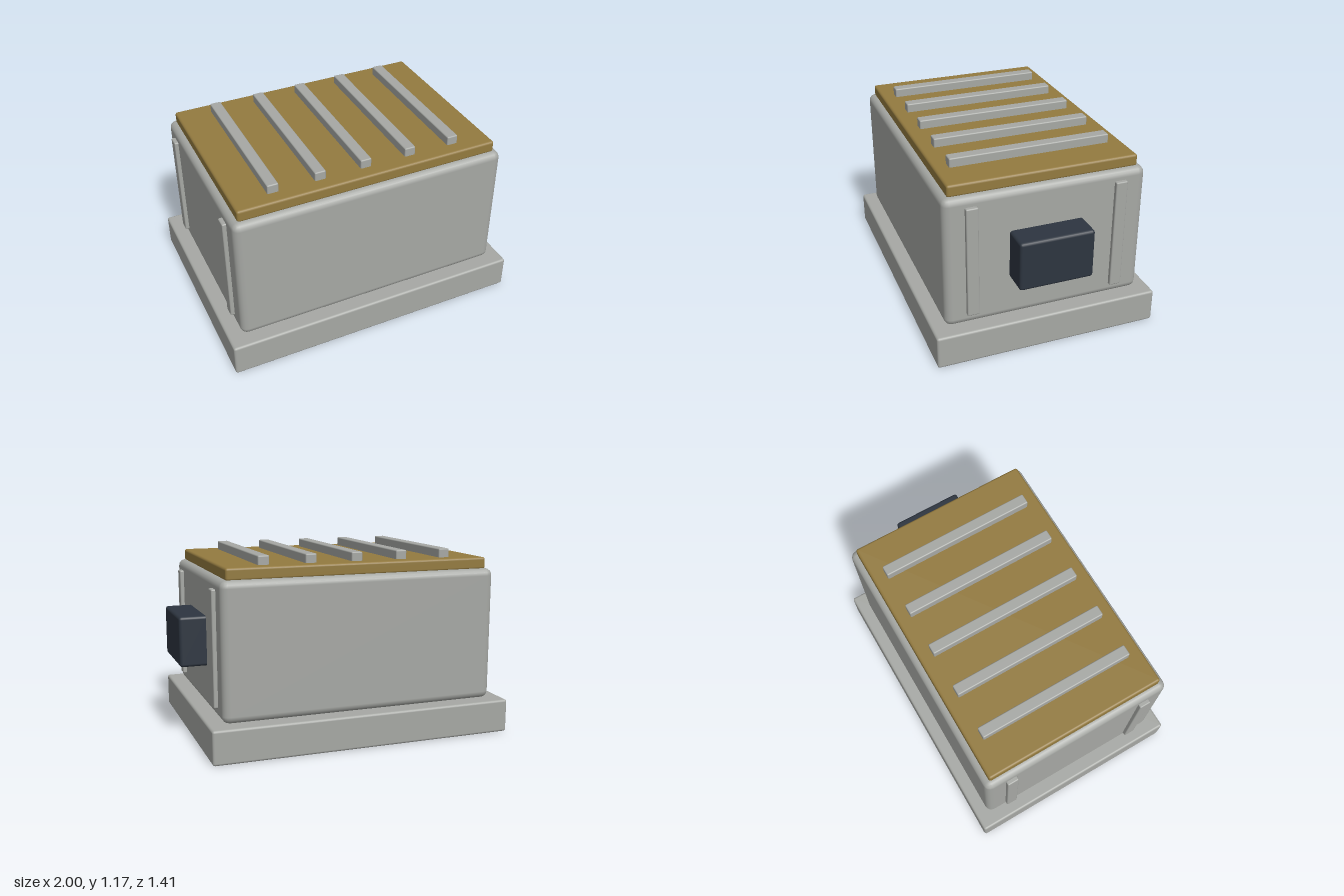
import * as THREE from 'three';
import { RoundedBoxGeometry } from 'three/addons/geometries/RoundedBoxGeometry.js';

const material = (name, color) => {
  const m = new THREE.MeshStandardMaterial({ color });
  m.name = name;
  return m;
};

export function createModel() {
  const model = new THREE.Group();
  model.name = 'ribbedCase';
  const grey = material('lightGrey', 0xa6a8a4);
  const ochre = material('ochre', 0x937a3f);
  const navy = material('darkNavy', 0x2d3540);

  // Bevelled box given by its limits on each axis
  const block = (name, mat, [x0, x1], [y0, y1], [z0, z1], bevel) => {
    const geometry = new RoundedBoxGeometry(x1 - x0, y1 - y0, z1 - z0, 2, bevel);
    const mesh = new THREE.Mesh(geometry, mat);
    mesh.position.set((x0 + x1) / 2, (y0 + y1) / 2, (z0 + z1) / 2);
    mesh.name = name;
    model.add(mesh);
  };

  const middle = -0.04; // the case sits off centre because of the side box

  // Plinth, body and lid
  block('base', grey, [-1, 0.92], [0, 0.21], [-0.705, 0.705], 0.015);
  block('body', grey, [-0.915, 0.835], [0.21, 1.047], [-0.625, 0.625], 0.045);
  block('lid', ochre, [-0.875, 0.795], [1.04, 1.115], [-0.585, 0.585], 0.015);

  // Ribs across the lid
  for (let i = -2; i <= 2; i++) {
    const x = middle + i * 0.293;
    block('lidRib', grey, [x - 0.035, x + 0.035], [1.105, 1.17], [-0.5, 0.5], 0.008);
  }

  // Upright strips on both ends
  for (const side of [-1, 1]) {
    for (const z of [-0.46, 0.46]) {
      const x = middle + side * 0.878;
      block('endStrip', grey, [x - 0.022, x + 0.022], [0.28, 0.985], [z - 0.037, z + 0.037], 0.008);
    }
  }

  // Control box on the left end
  block('controlBox', navy, [0.82, 1], [0.477, 0.787], [-0.23, 0.23], 0.018);

  return model;
}
